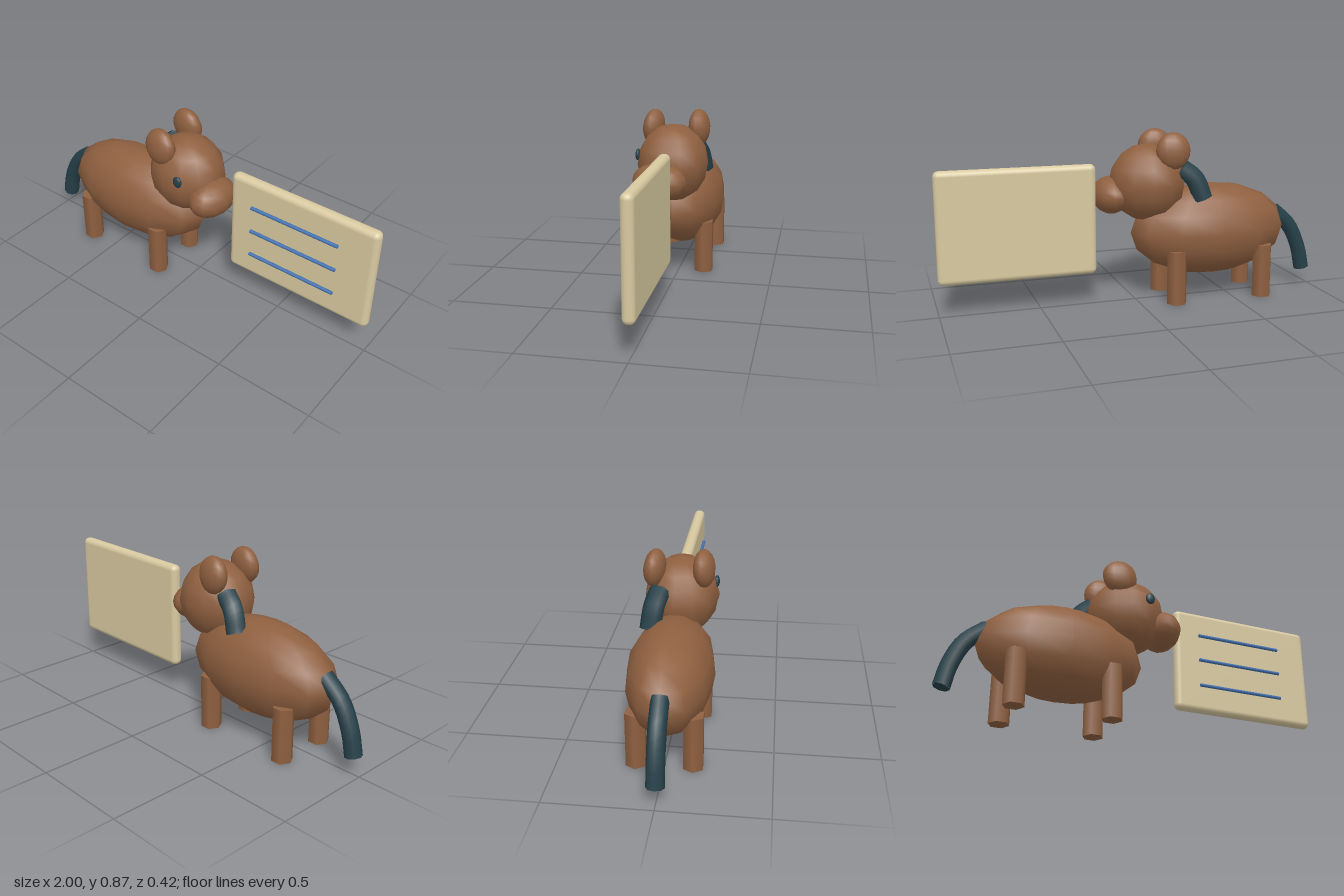
import * as THREE from 'three';
import { RoundedBoxGeometry } from 'three/addons/geometries/RoundedBoxGeometry.js';

const material = (name, color) => Object.assign(new THREE.MeshStandardMaterial({ color }), { name });

export function createModel() {
  const model = new THREE.Group();
  model.name = 'animalWithSign';
  const brown = material('brown fur', 0x8f6040);
  const dark = material('dark hair', 0x264049);
  const cream = material('cream board', 0xd8c9a0);
  const blue = material('blue lines', 0x4474b4);

  const add = (name, geometry, mat, [x, y, z], parent = model) => {
    const mesh = new THREE.Mesh(geometry, mat);
    mesh.name = name;
    mesh.position.set(x, y, z);
    parent.add(mesh);
    return mesh;
  };
  // Low-sided ellipsoid with smooth normals
  const ellipsoid = (name, mat, at, radii, w = 12, h = 8) =>
    add(name, new THREE.SphereGeometry(1, w, h).scale(...radii), mat, at);

  // Capped tube through a few points
  const tube = (name, points, radius, sides) => {
    const group = new THREE.Group();
    group.name = name;
    model.add(group);
    const curve = new THREE.CatmullRomCurve3(points.map((p) => new THREE.Vector3(...p)));
    add(name + 'Strand', new THREE.TubeGeometry(curve, 10, radius, sides), dark, [0, 0, 0], group);
    for (const t of [0, 1]) {
      const cap = add(name + 'End', new THREE.CircleGeometry(radius * 0.98, sides), dark, [0, 0, 0], group);
      const p = curve.getPointAt(t);
      const d = curve.getTangentAt(t).multiplyScalar(t ? 1 : -1);
      cap.position.copy(p);
      cap.lookAt(p.clone().add(d));
    }
  };

  // Body, with the widest points on the sides
  ellipsoid('body', brown, [-0.405, 0.355, 0], [0.43, 0.24, 0.21]);

  // Head turned slightly toward the front
  const yaw = -0.11;
  ellipsoid('head', brown, [-0.068, 0.613, 0.013], [0.2, 0.198, 0.183]).rotation.y = yaw;
  ellipsoid('muzzle', brown, [0.116, 0.55, 0.05], [0.097, 0.095, 0.14], 12, 10).rotation.y = yaw;
  ellipsoid('eye', dark, [0, 0.66, 0.181], [0.025, 0.03, 0.014], 12, 8);
  ellipsoid('leftEar', brown, [-0.145, 0.78, 0.128], [0.09, 0.093, 0.053], 12, 10).rotation.set(-0.08, yaw, 0);
  ellipsoid('rightEar', brown, [-0.164, 0.782, -0.107], [0.088, 0.093, 0.053], 12, 10).rotation.set(0.08, yaw, 0);

  // Hexagonal legs
  for (const x of [-0.655, -0.18])
    for (const z of [-0.133, 0.133])
      add('leg', new THREE.CylinderGeometry(0.052, 0.052, 0.275, 6).rotateY(Math.PI / 2), brown, [x, 0.1375, z]);

  // Mane and tail
  tube('mane', [[-0.22, 0.69, -0.075], [-0.285, 0.635, -0.095], [-0.325, 0.53, -0.11]], 0.052, 6);
  tube('tail', [[-0.775, 0.425, 0], [-0.875, 0.335, 0], [-0.935, 0.21, 0], [-0.962, 0.092, 0]], 0.042, 8);

  // Board with three raised lines
  add('board', new RoundedBoxGeometry(0.79, 0.56, 0.06, 3, 0.028), cream, [0.605, 0.44, 0]);
  for (const y of [0.58, 0.44, 0.298])
    add('boardLine', new THREE.CylinderGeometry(0.009, 0.009, 0.475, 8).rotateZ(Math.PI / 2), blue, [0.578, y, 0.042]);

  return model;
}
